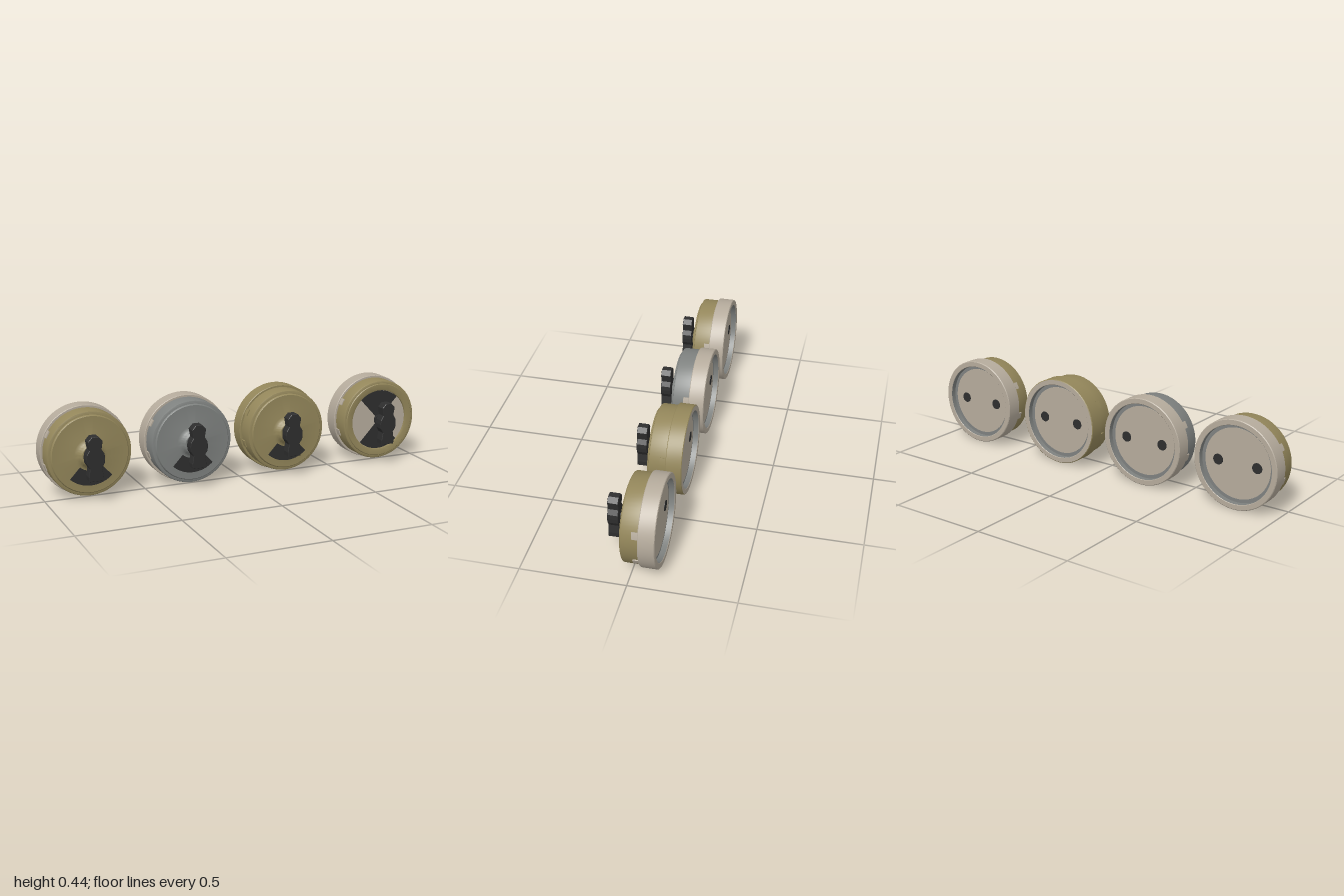
import * as THREE from 'three';
import { toCreasedNormals } from 'three/addons/utils/BufferGeometryUtils.js';

const mat = (name, color, side = THREE.FrontSide) => {
  const m = new THREE.MeshStandardMaterial({ color, side });
  m.name = name;
  return m;
};

// Turned part whose axis is z; profile points are [radius, z]
function turned(profile) {
  const g = new THREE.LatheGeometry(profile.map(([r, z]) => new THREE.Vector2(r, z)), 64);
  g.rotateX(Math.PI / 2);
  return toCreasedNormals(g, 0.6);
}

// Ring sector between two radii and two angles (degrees), from z0 to z1
function sector(r0, r1, a0, a1, z0, z1) {
  const s = new THREE.Shape();
  const a = THREE.MathUtils.degToRad(a0), b = THREE.MathUtils.degToRad(a1);
  s.absarc(0, 0, r1, a, b, false);
  s.absarc(0, 0, r0, b, a, true);
  const g = new THREE.ExtrudeGeometry(s, { depth: z1 - z0, bevelEnabled: false, curveSegments: 20 });
  return g.translate(0, 0, z0);
}

// Knob: a bar with a pointed top and a bulge around the shaft
function knobGeometry() {
  const half = [[0.034, -0.108], [0.036, -0.085], [0.029, -0.045], [0.043, -0.022],
    [0.045, 0], [0.043, 0.022], [0.029, 0.045], [0.036, 0.085], [0.016, 0.107]];
  const pts = [...half, ...half.map(([x, y]) => [-x, y]).reverse()];
  const s = new THREE.Shape(pts.map(([x, y]) => new THREE.Vector2(x, y)));
  const g = new THREE.ExtrudeGeometry(s, {
    depth: 0.046, bevelEnabled: true, bevelThickness: 0.002, bevelSize: 0.002, bevelOffset: -0.002, bevelSegments: 1,
  });
  return g.translate(0, 0, 0.082);
}

export function createModel() {
  const brass = mat('brass', 0x93865a);
  const steel = mat('grey metal', 0x7e817f);
  const ceramic = mat('cream ceramic', 0xb5ab9c);
  const dark = mat('black plastic', 0x2e2e2e);

  const model = new THREE.Group();
  model.name = 'rotarySwitches';

  const switches = [
    { x: -0.782, cover: brass, shell: ceramic },
    { x: -0.265, cover: steel, shell: ceramic },
    { x: 0.245, cover: brass, shell: brass },
    { x: 0.782, cover: brass, shell: ceramic, glazed: true },
  ];

  for (const { x, cover, shell, glazed } of switches) {
    const unit = new THREE.Group();
    unit.name = 'rotarySwitch';
    unit.position.set(x, 0.219, 0);
    model.add(unit);
    const add = (name, geo, material) => {
      const m = new THREE.Mesh(geo, material);
      m.name = name;
      unit.add(m);
      return m;
    };

    // Base: outer shell, rear rim, recess wall and back plate
    add('baseShell', turned([[0.215, -0.128], [0.2185, -0.125], [0.2185, -0.053], [0.216, -0.05], [0.19, -0.05]]), shell);
    add('rearRim', turned([[0.19, -0.126], [0.192, -0.128], [0.215, -0.128]]), ceramic);
    add('recessWall', turned([[0.165, -0.1], [0.19, -0.1], [0.19, -0.126]]), steel);
    add('backPlate', turned([[0, -0.102], [0.172, -0.102], [0.172, -0.1]]), ceramic);

    // Wire holes in the back plate
    for (const side of [-1, 1]) {
      const hole = add('wireHole', new THREE.CylinderGeometry(0.026, 0.026, 0.004, 20), dark);
      hole.rotation.x = Math.PI / 2;
      hole.position.set(side * 0.103, 0, -0.102);
    }

    // Locking tabs on both flanks
    for (const turn of [0, 180]) {
      for (const [a, b] of [[12.5, 22], [-33, -23.5]]) {
        add('lockingTab', sector(0.2, 0.212, a + turn, b + turn, -0.051, -0.022), shell);
      }
    }

    if (glazed) {
      // Open cover ring with a window over a two-tone dial
      add('coverRing', turned([[0.207, -0.05], [0.207, 0.025], [0.204, 0.031], [0.2, 0.033],
        [0.192, 0.033], [0.189, 0.037], [0.165, 0.037], [0.157, 0.034], [0.155, 0.022]]), cover);
      add('dial', turned([[0.156, 0.026], [0, 0.026]]), ceramic);
      for (const mid of [90, 270]) add('dialSector', sector(0.02, 0.155, mid - 43, mid + 43, 0.024, 0.028), dark);
      add('shaftCollar', turned([[0.026, 0.026], [0.026, 0.04], [0, 0.04]]), dark);
    } else {
      // Closed cover with stepped rim and flared neck
      add('cover', turned([[0.207, -0.05], [0.207, 0.026], [0.205, 0.031], [0.2, 0.033], [0.191, 0.034],
        [0.19, 0.039], [0.186, 0.043], [0.08, 0.043], [0.07, 0.046], [0.062, 0.051],
        [0.056, 0.059], [0.052, 0.068], [0.048, 0.071], [0, 0.071]]), cover);
      add('indicatorWindow', sector(0.078, 0.152, 227, 313, 0.04, 0.0445), dark);
    }

    // Shaft and knob
    const shaft = add('shaft', new THREE.CylinderGeometry(0.007, 0.007, 0.06, 16), dark);
    shaft.rotation.x = Math.PI / 2;
    shaft.position.z = 0.055;
    add('knob', knobGeometry(), dark);
  }
  return model;
}
